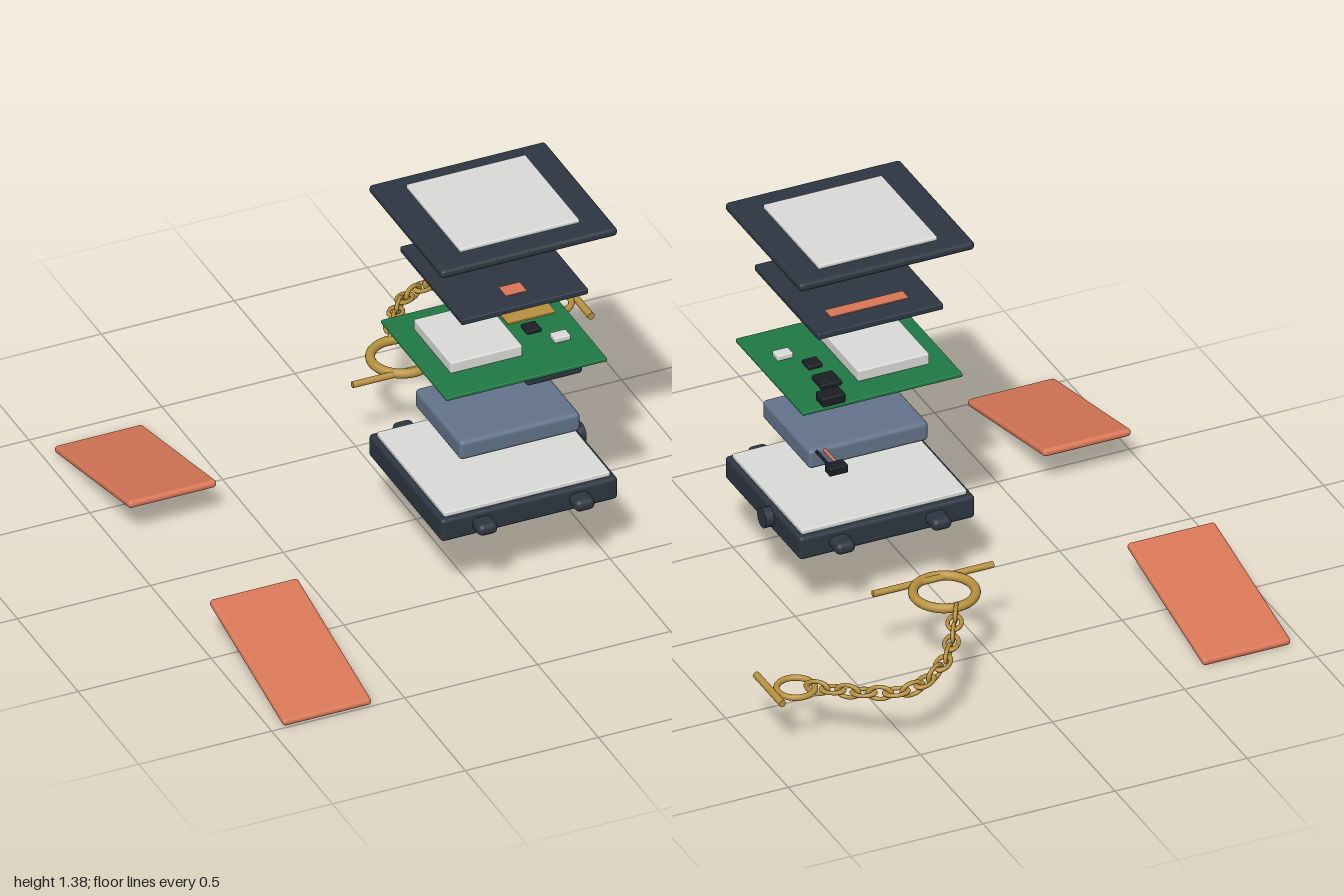
import * as THREE from 'three';
import { RoundedBoxGeometry } from 'three/addons/geometries/RoundedBoxGeometry.js';

const mat = (name, color) => {
  const m = new THREE.MeshStandardMaterial({ color });
  m.name = name;
  return m;
};

export function createModel() {
  const shell = mat('dark shell', 0x2d3742);
  const glass = mat('pale glass', 0xdcdcda);
  const clay = mat('clay', 0xd97757);
  const green = mat('board green', 0x1f7a45);
  const chip = mat('chip black', 0x1b1e23);
  const slate = mat('battery slate', 0x64748b);
  const gold = mat('gold', 0xb8923f);
  const root = new THREE.Group();
  root.name = 'explodedPendant';

  const add = (parent, name, geo, material, pos = [0, 0, 0]) => {
    const m = new THREE.Mesh(geo, material);
    m.name = name;
    m.position.set(...pos);
    parent.add(m);
    return m;
  };
  const group = (name) => {
    const g = new THREE.Group();
    g.name = name;
    root.add(g);
    return g;
  };
  // Rounded block given by its extents on each axis
  const block = (parent, name, [x0, x1], [y0, y1], [z0, z1], material, r = 0.01, seg = 3) => {
    const w = x1 - x0, h = y1 - y0, d = z1 - z0;
    const geo = r > 0
      ? new RoundedBoxGeometry(w, h, d, seg, Math.min(r, w / 2.01, h / 2.01, d / 2.01))
      : new THREE.BoxGeometry(w, h, d);
    return add(parent, name, geo, material, [(x0 + x1) / 2, (y0 + y1) / 2, (z0 + z1) / 2]);
  };

  // Top cover with its window
  const cover = group('cover');
  block(cover, 'coverFrame', [-0.15, 0.514], [1.34, 1.372], [-0.067, 0.538], shell, 0.014);
  block(cover, 'coverWindow', [-0.04, 0.41], [1.329, 1.385], [0.002, 0.45], glass, 0.006, 2);

  // Display panel with printed marks and a flex tab
  const panel = group('displayPanel');
  block(panel, 'panel', [-0.053, 0.423], [1.099, 1.123], [-0.018, 0.492], shell, 0.006);
  block(panel, 'printedBar', [0.04, 0.335], [1.121, 1.126], [0.065, 0.115], clay, 0);
  block(panel, 'printedMark', [0.145, 0.225], [1.121, 1.126], [0.36, 0.42], clay, 0);
  block(panel, 'flexTab', [0.093, 0.273], [1.099, 1.105], [0.48, 0.552], gold, 0);

  // Circuit board and components
  const board = group('circuitBoard');
  block(board, 'board', [-0.12, 0.486], [0.818, 0.833], [-0.03, 0.51], green, 0.005);
  block(board, 'shieldCan', [-0.043, 0.228], [0.832, 0.876], [0.072, 0.378], glass, 0.006, 2);
  block(board, 'lowerModule', [0.2, 0.41], [0.77, 0.818], [0.325, 0.475], shell, 0.012);
  block(board, 'socket', [0.323, 0.41], [0.832, 0.868], [-0.03, 0.03], chip, 0.006);
  block(board, 'largeChip', [0.285, 0.365], [0.832, 0.85], [0.078, 0.158], chip, 0.005);
  block(board, 'smallChip', [0.295, 0.35], [0.832, 0.848], [0.212, 0.267], chip, 0.005);
  block(board, 'paleChip', [0.36, 0.42], [0.832, 0.853], [0.31, 0.355], glass, 0.005);

  // Battery with two leads and a plug
  const battery = group('battery');
  block(battery, 'cell', [-0.043, 0.41], [0.522, 0.597], [0.078, 0.458], slate, 0.016);
  [[0.35, clay], [0.38, chip]].forEach(([x, m]) => {
    const lead = add(battery, 'lead', new THREE.CylinderGeometry(0.006, 0.006, 0.13, 10), m, [x, 0.587, 0.035]);
    lead.rotation.x = Math.PI / 2;
  });
  block(battery, 'plug', [0.33, 0.4], [0.571, 0.604], [-0.065, -0.02], chip, 0.005);

  // Lower case with screen, strap lugs and side button
  const base = group('baseCase');
  block(base, 'case', [-0.15, 0.514], [0.265, 0.354], [-0.067, 0.538], shell, 0.014);
  block(base, 'caseScreen', [-0.13, 0.495], [0.34, 0.37], [-0.043, 0.517], glass, 0.006, 2);
  for (const x of [0.002, 0.367]) {
    for (const z of [-0.09, 0.555]) {
      block(base, 'lug', [x - 0.037, x + 0.037], [0.287, 0.332], [z - 0.043, z + 0.043], shell, 0.02, 4);
    }
  }
  const button = add(base, 'button', new THREE.CylinderGeometry(0.036, 0.036, 0.05, 28), shell, [0.521, 0.314, 0.172]);
  button.rotation.z = Math.PI / 2;

  // Two tilted strap plates
  [[0.688, 1], [-0.588, -1]].forEach(([z, s]) => {
    const strap = add(root, 'strapPlate', new RoundedBoxGeometry(0.333, 0.028, 0.632, 3, 0.013), clay, [-0.787, 0.082, z]);
    strap.rotation.x = s * 0.217;
  });

  // Clasp rings with crossbars
  const clasp = group('claspChain');
  const ring = (name, R, r, pos) => {
    add(clasp, name, new THREE.TorusGeometry(R, r, 14, 48), gold, pos).rotation.x = Math.PI / 2;
  };
  const bar = (name, r, len, pos, axis) => {
    add(clasp, name, new THREE.CylinderGeometry(r, r, len, 16), gold, pos).rotation[axis] = Math.PI / 2;
  };
  ring('largeRing', 0.108, 0.017, [0.183, 0.308, -0.522]);
  bar('largeCrossbar', 0.012, 0.455, [0.183, 0.308, -0.43], 'z');
  ring('smallRing', 0.066, 0.011, [0.848, 0.218, -0.738]);
  bar('smallCrossbar', 0.013, 0.21, [0.934, 0.218, -0.71], 'x');

  // Chain of alternating oval links along a sagging arc
  const path = new THREE.CatmullRomCurve3([
    [0.205, 0.306, -0.66], [0.245, 0.3, -0.73], [0.293, 0.29, -0.81], [0.36, 0.277, -0.89],
    [0.425, 0.265, -0.935], [0.51, 0.255, -0.968], [0.594, 0.246, -0.945],
    [0.68, 0.235, -0.88], [0.736, 0.225, -0.82], [0.782, 0.219, -0.77],
  ].map((p) => new THREE.Vector3(...p)));
  const link = new THREE.TorusGeometry(0.024, 0.0075, 8, 24).scale(1.6, 1, 1).translate(0, 0, 0);
  const count = 15;
  for (let i = 0; i < count; i++) {
    const u = i / (count - 1);
    const t = path.getTangentAt(u);
    const side = new THREE.Vector3(0, 1, 0).cross(t).normalize();
    const up = t.clone().cross(side);
    const basis = i % 2
      ? new THREE.Matrix4().makeBasis(t, side, up)
      : new THREE.Matrix4().makeBasis(t, up, side.clone().negate());
    // keep the frame right-handed for either orientation
    if (basis.determinant() < 0) basis.scale(new THREE.Vector3(1, 1, -1));
    const m = add(clasp, 'chainLink', link, gold, path.getPointAt(u).toArray());
    m.quaternion.setFromRotationMatrix(basis);
  }
  return root;
}
